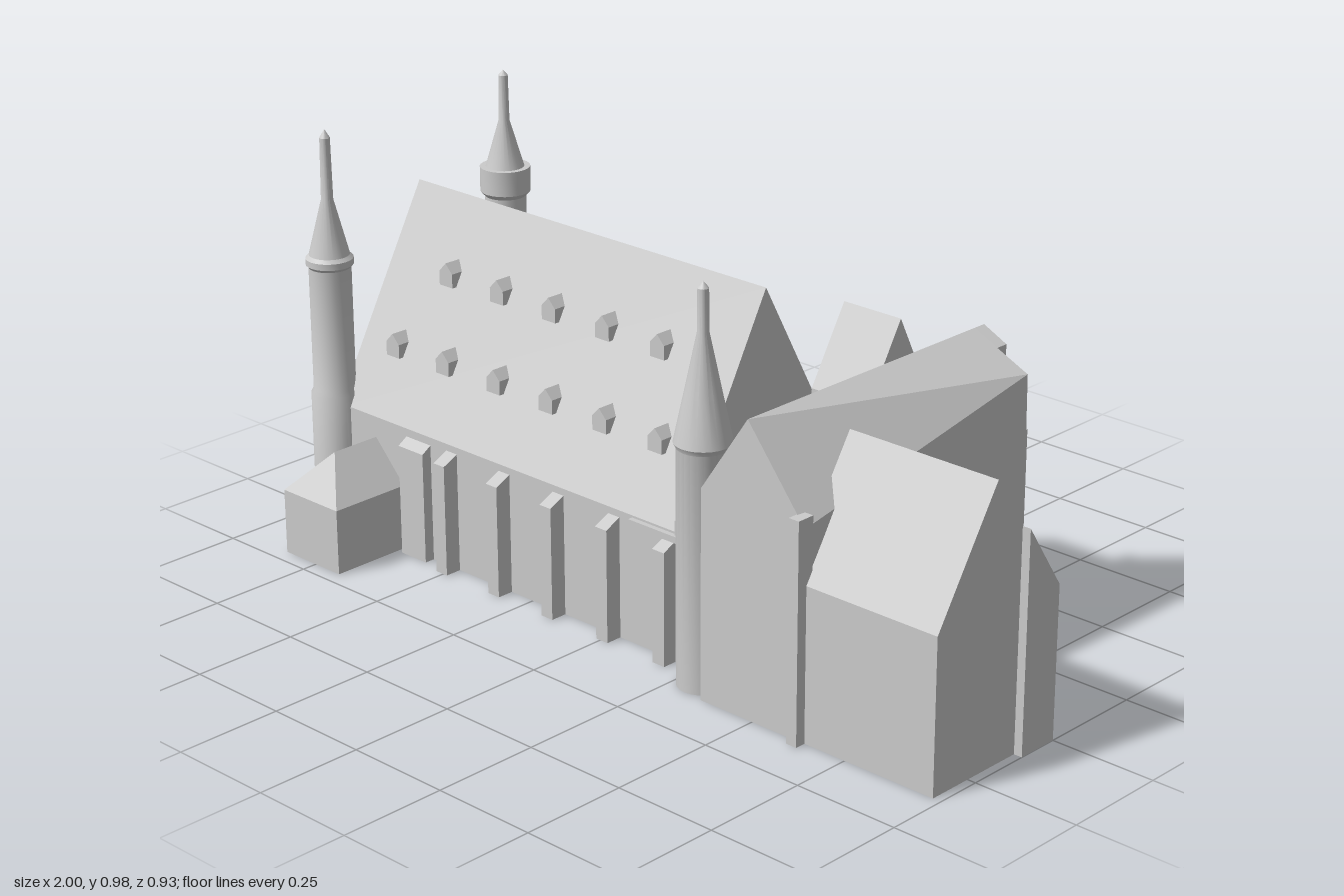
import * as THREE from 'three';
import { toCreasedNormals } from 'three/addons/utils/BufferGeometryUtils.js';
import { ConvexGeometry } from 'three/addons/geometries/ConvexGeometry.js';

const material = new THREE.MeshStandardMaterial({ color: 0xcccccc });

export function createModel() {
  const model = new THREE.Group();

  const add = (name, geometry, x = 0, y = 0, z = 0) => {
    const mesh = new THREE.Mesh(geometry, material);
    mesh.name = name;
    mesh.position.set(x, y, z);
    model.add(mesh);
    return mesh;
  };
  const box = (name, x0, x1, y0, y1, z0, z1) =>
    add(name, new THREE.BoxGeometry(x1 - x0, y1 - y0, z1 - z0), (x0 + x1) / 2, (y0 + y1) / 2, (z0 + z1) / 2);
  const extrude = (points, depth, holes = []) => {
    const shape = new THREE.Shape(points.map(p => new THREE.Vector2(...p)));
    for (const h of holes) shape.holes.push(new THREE.Path(h.map(p => new THREE.Vector2(...p))));
    return new THREE.ExtrudeGeometry(shape, { depth, bevelEnabled: false });
  };
  // outline in (x, y), running along z
  const prismZ = (name, points, z0, z1) => add(name, extrude(points, z1 - z0), 0, 0, z0);
  // outline in (z, y), running along x
  const prismX = (name, points, x0, x1, holes) =>
    add(name, extrude(points, x1 - x0, holes).rotateY(-Math.PI / 2), x1);
  const convex = (name, points) => add(name, new ConvexGeometry(points.map(p => new THREE.Vector3(...p))));
  const gable = (a, b, eave, ridge, mid = (a + b) / 2) => [[a, 0], [b, 0], [b, eave], [mid, ridge], [a, eave]];
  // pointed window outline
  const lancet = (c, y0, w, h) => [
    [c - w, y0], [c + w, y0], [c + w, y0 + h * 0.6], [c + w * 0.65, y0 + h * 0.83],
    [c, y0 + h], [c - w * 0.65, y0 + h * 0.83], [c - w, y0 + h * 0.6],
  ];

  // Nave with a pierced west wall
  const midZ = -0.005, halfZ = 0.265, eaveY = 0.3, ridgeY = 0.78;
  const naveOutline = gable(midZ - halfZ, midZ + halfZ, eaveY, ridgeY);
  prismX('nave', naveOutline, -0.862, 0.2);
  const windows = [[[midZ, 0.41], [midZ + 0.045, 0.48], [midZ, 0.55], [midZ - 0.045, 0.48]]];
  for (const s of [-1, 1]) {
    windows.push(lancet(midZ + s * 0.11, 0.36, 0.027, 0.12));
    windows.push(lancet(midZ + s * 0.13, 0.1, 0.027, 0.15));
  }
  prismX('westWall', naveOutline, -0.88, -0.862, windows);

  // West porch with a recessed doorway
  const porch = gable(-0.07, 0.058, 0.2, 0.275);
  prismX('porch', porch, -0.98, -0.87);
  prismX('porchFront', porch, -1, -0.98, [lancet(-0.006, 0.01, 0.033, 0.17)]);

  // Dormers, two staggered rows on each roof slope
  const dormer = (x, y, side) => {
    const z = halfZ * (ridgeY - y) / (ridgeY - eaveY) + 0.012;
    const outline = [[x - 0.021, y], [x + 0.021, y], [x + 0.021, y + 0.033], [x, y + 0.055], [x - 0.021, y + 0.033]];
    const a = midZ + side * z, b = midZ + side * (z - 0.06);
    prismZ('dormer', outline, Math.min(a, b), Math.max(a, b));
  };
  for (const side of [-1, 1]) {
    for (let i = 0; i < 6; i++) dormer(-0.76 + i * 0.166, 0.43, side);
    for (let i = 0; i < 5; i++) dormer(-0.675 + i * 0.166, 0.597, side);
  }

  // Buttresses with sloping caps
  const buttress = (x, w, zWall, zOut) => prismX('buttress',
    [[zWall, 0], [zOut, 0], [zOut, 0.265], [zWall, 0.293]], x - w / 2, x + w / 2);
  for (const x of [-0.505, -0.335, -0.165, 0.005, 0.175]) buttress(x, 0.034, 0.24, 0.3);
  buttress(-0.615, 0.08, 0.24, 0.285);
  for (const x of [-0.68, -0.53, -0.355, -0.185, -0.02]) buttress(x, 0.034, -0.25, -0.315);
  box('eaveLedge', 0.06, 0.2, 0.28, 0.295, 0.25, 0.272);

  // Hipped side chapels
  const chapel = (name, side, eave, top, zHip) => {
    const points = [];
    for (const x of [-0.85, -0.67])
      for (const z of [0.2, 0.463])
        for (const y of [0, eave]) points.push([x, y, side * z]);
    points.push([-0.76, top, side * 0.2], [-0.76, top, side * zHip]);
    convex(name, points);
  };
  chapel('frontChapel', 1, 0.155, 0.25, 0.385);
  chapel('backChapel', -1, 0.225, 0.35, 0.39);

  // Round towers
  const tower = (name, x, z, profile) => {
    const points = profile.map(p => new THREE.Vector2(...p));
    add(name, toCreasedNormals(new THREE.LatheGeometry(points, 24), 0.5), x, 0, z);
  };
  tower('frontLeftTower', -0.9, 0.258, [
    [0, 0], [0.055, 0], [0.055, 0.325], [0.049, 0.338], [0.049, 0.63], [0.055, 0.637], [0.055, 0.652],
    [0.047, 0.66], [0.014, 0.79], [0.012, 0.935], [0, 0.955]]);
  tower('backLeftTower', -0.9, -0.295, [
    [0, 0], [0.055, 0], [0.055, 0.325], [0.049, 0.338], [0.049, 0.67], [0.06, 0.682], [0.06, 0.742],
    [0.046, 0.742], [0.013, 0.855], [0.011, 0.965], [0, 0.978]]);
  tower('rightTower', 0.305, 0.3, [
    [0, 0], [0.057, 0], [0.057, 0.54], [0.063, 0.552], [0.039, 0.665], [0.013, 0.79], [0.012, 0.885], [0, 0.9]]);

  // Link between nave and transept, with its gabled back part and annex
  box('link', 0.19, 0.37, 0, 0.328, -0.2, 0.265);
  prismX('linkGable', gable(-0.345, -0.155, 0.51, 0.683, -0.258), 0.2, 0.36);
  convex('annex', [
    [0.205, 0, -0.465], [0.33, 0, -0.435], [0.205, 0, -0.33], [0.33, 0, -0.33],
    [0.205, 0.325, -0.465], [0.33, 0.325, -0.435], [0.205, 0.325, -0.33], [0.33, 0.325, -0.33]]);

  // Transept, its right eave rising towards the back
  const section = (z, outline) => outline.map(([x, y]) => [x, y, z]);
  convex('transept', [
    ...section(0.36, [[0.355, 0], [0.638, 0], [0.638, 0.475], [0.483, 0.667], [0.355, 0.48]]),
    ...section(-0.355, [[0.355, 0], [0.638, 0], [0.63, 0.6], [0.483, 0.667], [0.355, 0.48]]),
  ]);
  prismZ('transeptBackPanel', [[0.41, 0], [0.545, 0], [0.545, 0.637], [0.483, 0.667], [0.41, 0.56]], -0.388, -0.34);
  box('cornerPilaster', 0.615, 0.642, 0, 0.5, 0.34, 0.383);
  box('backPilaster', 0.595, 0.625, 0, 0.47, -0.368, -0.34);

  // Low plinth and steps on the transept's right wall
  box('plinth', 0.63, 0.648, 0, 0.088, -0.365, -0.13);
  box('step', 0.63, 0.665, 0, 0.088, -0.365, -0.338);
  box('step', 0.63, 0.66, 0, 0.088, -0.335, -0.312);

  // Right wing with end slab and small stair turret
  prismX('rightWing', gable(0, 0.358, 0.352, 0.627, 0.184), 0.6, 0.98);
  prismX('endSlab', [[0, 0], [0.102, 0], [0.102, 0.503], [0, 0.35]], 0.97, 1);
  add('stairTurret', new THREE.CylinderGeometry(0.032, 0.032, 0.088, 16), 0.795, 0.044, 0.01);

  return model;
}
